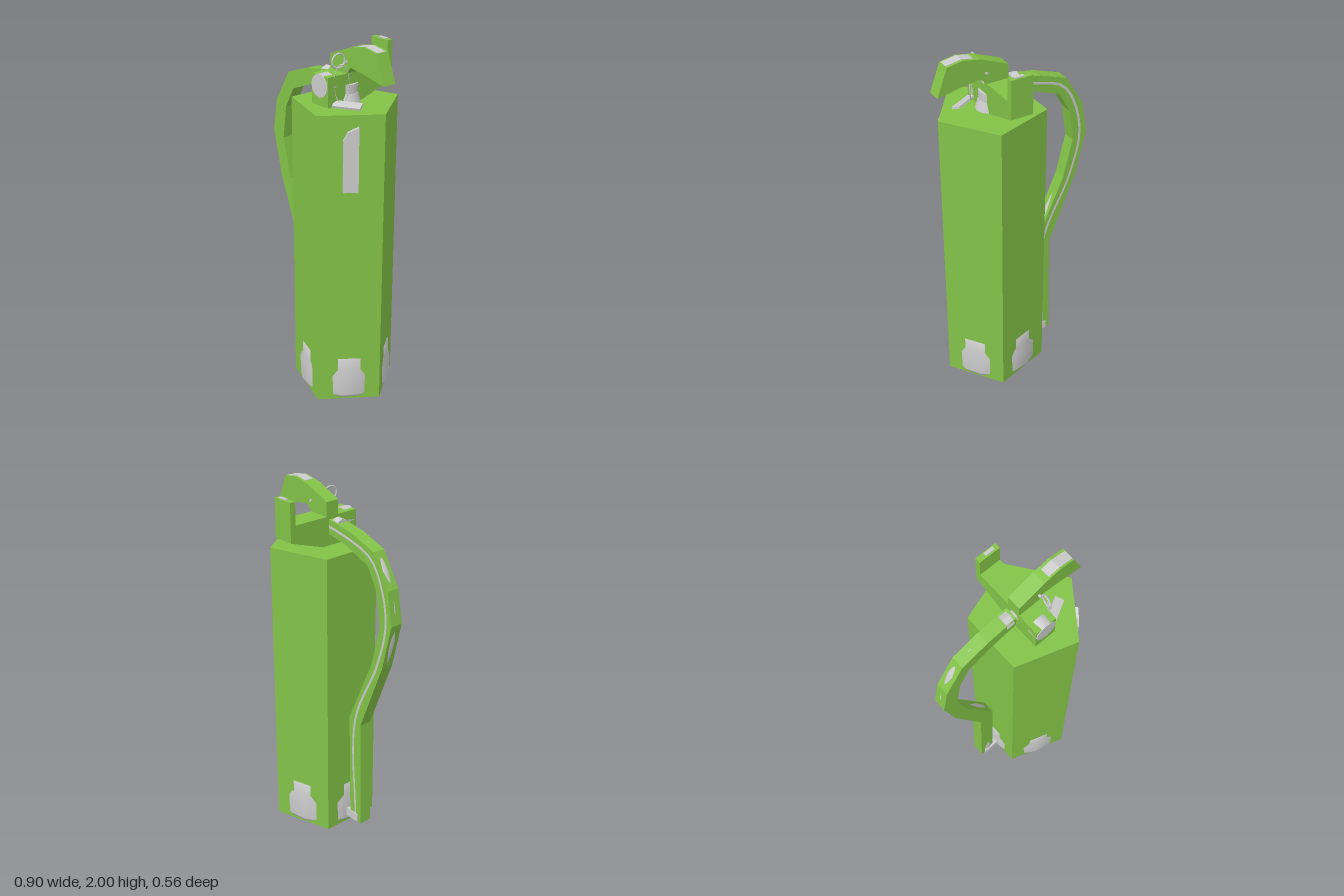
import * as THREE from 'three';

const CX = 0.132; // cylinder axis

export function createModel() {
  const model = new THREE.Group();
  const green = new THREE.MeshStandardMaterial({ color: 0x82c247, flatShading: true });
  const grey = new THREE.MeshStandardMaterial({ color: 0xcccccc });
  const greyFlat = new THREE.MeshStandardMaterial({ color: 0xcccccc, flatShading: true });

  const add = (name, geometry, material, x = 0, y = 0, z = 0) => {
    const mesh = new THREE.Mesh(geometry, material);
    mesh.name = name;
    mesh.position.set(x, y, z);
    model.add(mesh);
    return mesh;
  };
  const shape = (pts) => new THREE.Shape(pts.map(([x, y]) => new THREE.Vector2(x, y)));
  const plate = (pts, depth) =>
    new THREE.ExtrudeGeometry(shape(pts), { depth, bevelEnabled: false });

  // Five-sided tank shell, one corner towards +x
  add('tankShell', new THREE.CylinderGeometry(0.296, 0.296, 1.68, 5, 1, false, Math.PI / 2),
    green, CX, 0.84, 0);

  // Round base skirt, showing through the flat sides of the shell
  const skirt = [[0, 0.015], [0.25, 0.015], [0.26, 0.035], [0.261, 0.15], [0.25, 0.19],
    [0.25, 0.26], [0.225, 0.262]].map(([r, y]) => new THREE.Vector2(r, y));
  add('baseSkirt', new THREE.LatheGeometry(skirt, 16), grey, CX, 0, 0);

  // Raised strip on the front-left face
  const strip = add('sideStrip',
    plate([[-0.04, 1.27], [0.04, 1.27], [0.04, 1.62], [-0.015, 1.595], [-0.04, 1.55]], 0.04), greyFlat);
  const a = Math.PI / 5;
  strip.position.set(CX + 0.222 * Math.cos(a), 0, 0.222 * Math.sin(a));
  strip.rotation.y = Math.PI / 2 - a;

  // Square-section hose shell
  const outer = [[0.03, 1.83], [-0.15, 1.8], [-0.31, 1.745], [-0.42, 1.565], [-0.452, 1.38],
    [-0.39, 1.12], [-0.228, 0.705], [-0.24, 0.05]];
  const inner = [[0.03, 1.75], [-0.1, 1.725], [-0.27, 1.66], [-0.337, 1.54], [-0.365, 1.35],
    [-0.31, 1.12], [-0.138, 0.725], [-0.15, 0.05]];
  add('hoseShell', plate([...outer, ...inner.slice().reverse()], 0.073), green, 0, 0, -0.04);

  // Round hose core following the middle of the shell
  const path = new THREE.CatmullRomCurve3(outer.map(([x, y], i) =>
    new THREE.Vector3((x + inner[i][0]) / 2, (y + inner[i][1]) / 2, -0.006)));
  add('hoseCore', new THREE.TubeGeometry(path, 40, 0.037, 8, false), grey);

  // Nozzle and its clip to the tank
  add('nozzle', new THREE.CylinderGeometry(0.034, 0.045, 0.16, 10), grey, -0.187, 0.13, 0);
  add('nozzleClip', new THREE.BoxGeometry(0.12, 0.05, 0.09), greyFlat, -0.155, 0.075, 0);

  // Hose coupling on the valve
  const coupling = add('hoseCoupling', new THREE.CylinderGeometry(0.04, 0.04, 0.045, 8),
    greyFlat, -0.008, 1.8, 0);
  coupling.rotation.z = Math.PI / 2;
  const stub = add('couplingStub', new THREE.CylinderGeometry(0.03, 0.03, 0.06, 8),
    greyFlat, 0.03, 1.79, 0);
  stub.rotation.z = Math.PI / 2;

  // Valve block with the sloping carry handle and rear tab; profile is (-z, y)
  const valve = add('valveBody', plate([[-0.16, 1.68], [0.07, 1.68], [0.283, 1.75], [0.283, 1.965],
    [0.25, 1.965], [0.25, 1.84], [-0.16, 1.84]], 0.125), green, 0.045, 0, 0);
  valve.rotation.y = Math.PI / 2;
  add('rearTabCap', new THREE.BoxGeometry(0.055, 0.012, 0.018), greyFlat, 0.118, 1.965, -0.267);
  add('neckRing', new THREE.CylinderGeometry(0.07, 0.07, 0.05, 12), grey, CX - 0.015, 1.755, 0);
  add('neckBase', new THREE.CylinderGeometry(0.06, 0.075, 0.05, 12), grey, CX, 1.705, 0);

  // Pressure gauge
  const gauge = add('gauge', new THREE.CylinderGeometry(0.062, 0.064, 0.06, 12),
    grey, 0.107, 1.785, 0.134);
  gauge.rotation.x = Math.PI / 2;

  // Squeeze lever with grip inlay
  add('leverPost', new THREE.BoxGeometry(0.1, 0.07, 0.03), greyFlat, 0.12, 1.86, 0);
  add('lever', plate([[0.045, 1.84], [0.17, 1.84], [0.2, 1.875], [0.3, 1.862], [0.445, 1.832],
    [0.387, 1.985], [0.3, 2], [0.2, 1.982], [0.045, 1.92]], 0.079), green, 0, 0, -0.044);
  add('leverGrip', plate([[0.235, 1.97], [0.386, 1.97], [0.385, 1.987], [0.3, 2.002],
    [0.235, 1.99]], 0.054), greyFlat, 0, 0, -0.029);
  const pivot = add('leverPin', new THREE.CylinderGeometry(0.008, 0.008, 0.1, 8),
    grey, 0.17, 1.9, 0);
  pivot.rotation.x = Math.PI / 2;

  // Safety ring, hanging wire loop and tag
  const ring = add('safetyRing', new THREE.TorusGeometry(0.037, 0.005, 6, 20),
    grey, 0.17, 1.915, 0.09);
  ring.rotation.y = Math.PI / 2 - 0.15;
  const loop = add('tagLoop', new THREE.TorusGeometry(0.1, 0.004, 6, 24), grey, 0.19, 1.8, 0.085);
  loop.scale.set(0.38, 1, 1);
  loop.rotation.y = 0.9;
  const tag = add('tag', new THREE.BoxGeometry(0.15, 0.012, 0.05), greyFlat, 0.235, 1.697, 0.085);
  tag.rotation.set(0.35, 0.5, 0, 'YXZ');

  return model;
}
